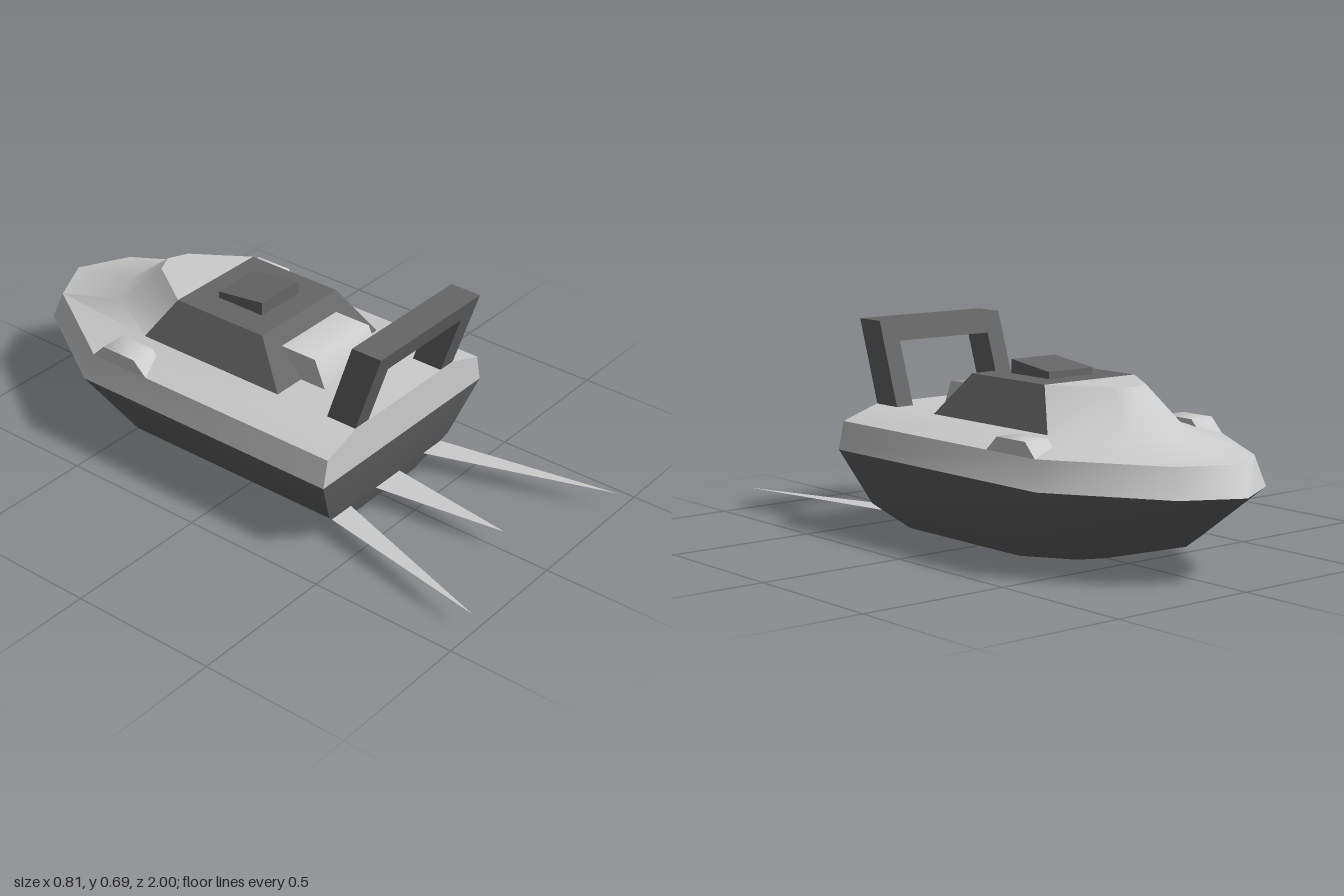
import * as THREE from 'three';
import { toCreasedNormals } from 'three/addons/utils/BufferGeometryUtils.js';

const light = new THREE.MeshStandardMaterial({ color: 0xcccccc });
light.name = 'lightGrey';
const dark = new THREE.MeshStandardMaterial({ color: 0x666666 });
dark.name = 'darkGrey';
const wakeLight = new THREE.MeshStandardMaterial({ color: 0xcccccc, side: THREE.DoubleSide });
wakeLight.name = 'wakeGrey';

// Mirrors a half outline of [x, z] pairs (or [x, z, y]) into a counter-clockwise ring
function ring(y, half) {
  const right = half.map(([x, z, h = y]) => new THREE.Vector3(x, h, z));
  const left = right.filter((p) => p.x > 0).reverse().map((p) => new THREE.Vector3(-p.x, p.y, p.z));
  return [...right, ...left];
}

// Quads between two outlines, lower to upper
function strip(a, b, closed = true) {
  const out = [];
  const n = a.length;
  for (let i = 0; i < (closed ? n : n - 1); i++) {
    const j = (i + 1) % n;
    out.push(a[i], a[j], b[j], a[i], b[j], b[i]);
  }
  return out;
}

function fan(p) {
  const out = [];
  for (let i = 1; i < p.length - 1; i++) out.push(p[0], p[i], p[i + 1]);
  return out;
}

function surface(points, crease) {
  const g = new THREE.BufferGeometry().setFromPoints(points);
  g.computeVertexNormals();
  return toCreasedNormals(g, crease);
}

// Side profile of [z, y] pairs extruded across x
function prism(profile, x0, x1) {
  const shape = new THREE.Shape(profile.map(([z, y]) => new THREE.Vector2(-z, y)));
  const g = new THREE.ExtrudeGeometry(shape, { depth: x1 - x0, bevelEnabled: false });
  g.rotateY(Math.PI / 2);
  g.translate(x0, 0, 0);
  return g;
}

export function createModel() {
  const model = new THREE.Group();
  const add = (name, geometry, material) => {
    const mesh = new THREE.Mesh(geometry, material);
    mesh.name = name;
    model.add(mesh);
  };

  // Lower hull
  const keel = ring(0, [[0.185, 0.36], [0.185, -0.2], [0.085, -0.36], [0, -0.4]]);
  const chine = ring(0.093, [[0.31, 0.4], [0.31, -0.4], [0.14, -0.67], [0, -0.75]]);
  const waist = ring(0.275, [[0.405, 0.45], [0.405, -0.54], [0.18, -0.9], [0, -1]]);
  add('hull', surface([
    ...fan([...keel].reverse()), ...strip(keel, chine), ...strip(chine, waist),
  ], 0.9), dark);

  // Upper hull, deck and the hump that rises to the cabin
  const rim = ring(0.367, [[0.385, 0.45], [0.385, -0.51], [0.165, -0.865], [0, -0.95]]);
  const deck = ring(0.412, [[0.25, 0.45], [0.25, -0.41], [0.125, -0.63], [0, -0.7]]);
  const brow = ring(0.549, [[0.185, -0.32], [0.065, -0.5], [0, -0.53]]);
  add('deck', surface([
    ...strip(waist, rim), ...strip(rim, deck),
    ...fan([deck[0], deck[1], deck[5], deck[6]]),
    ...strip(deck.slice(1, 6), brow, false),
  ], 0.9), light);
  add('foreRoof', surface(fan(brow), 0.5), light);

  // Cabin
  const cabinBase = ring(0.412, [[0.25, 0.145], [0.25, -0.41]]);
  const cabinTop = ring(0.549, [[0.185, 0.03], [0.185, -0.32]]);
  add('cabin', surface([...strip(cabinBase, cabinTop), ...fan(cabinTop)], 0.3), dark);
  add('roofHatch', prism([[-0.05, 0.54], [-0.05, 0.594], [-0.23, 0.571], [-0.23, 0.54]], -0.09, 0.09), dark);

  // Rear seat
  add('seat', toCreasedNormals(
    prism([[0.24, 0.4], [0.24, 0.412], [0.2, 0.504], [0.06, 0.504], [0.06, 0.4]], -0.136, 0.136), 1.2), light);

  // Side pods
  for (const side of [-1, 1]) {
    const x = [0.296 * side, 0.385 * side].sort((a, b) => a - b);
    add(side > 0 ? 'leftPod' : 'rightPod', toCreasedNormals(
      prism([[-0.285, 0.367], [-0.335, 0.413], [-0.465, 0.413], [-0.51, 0.367]], ...x), 0.9), light);
  }

  // Raked stern arch
  const frame = new THREE.Shape([[-0.25, 0.4], [-0.185, 0.4], [-0.185, 0.618], [0.185, 0.618],
    [0.185, 0.4], [0.25, 0.4], [0.25, 0.686], [-0.25, 0.686]].map((p) => new THREE.Vector2(...p)));
  const arch = new THREE.ExtrudeGeometry(frame, { depth: 0.108, bevelEnabled: false });
  const pos = arch.attributes.position;
  for (let i = 0; i < pos.count; i++) {
    pos.setZ(i, pos.getZ(i) + 0.34 + (pos.getY(i) - 0.412) * 0.33);
  }
  arch.computeVertexNormals();
  add('sternArch', arch, dark);

  // Flat wake streaks behind the stern
  const wake = (name, x0, x1, tipX, tipZ) => add(name, surface([
    new THREE.Vector3(x0, 0.07, 0.39), new THREE.Vector3(tipX, 0.07, tipZ), new THREE.Vector3(x1, 0.07, 0.39),
  ], 0.5), wakeLight);
  wake('leftWake', 0.19, 0.285, 0.395, 1);
  wake('rightWake', -0.285, -0.19, -0.395, 1);
  wake('middleWake', -0.062, 0.062, 0, 0.84);

  return model;
}
